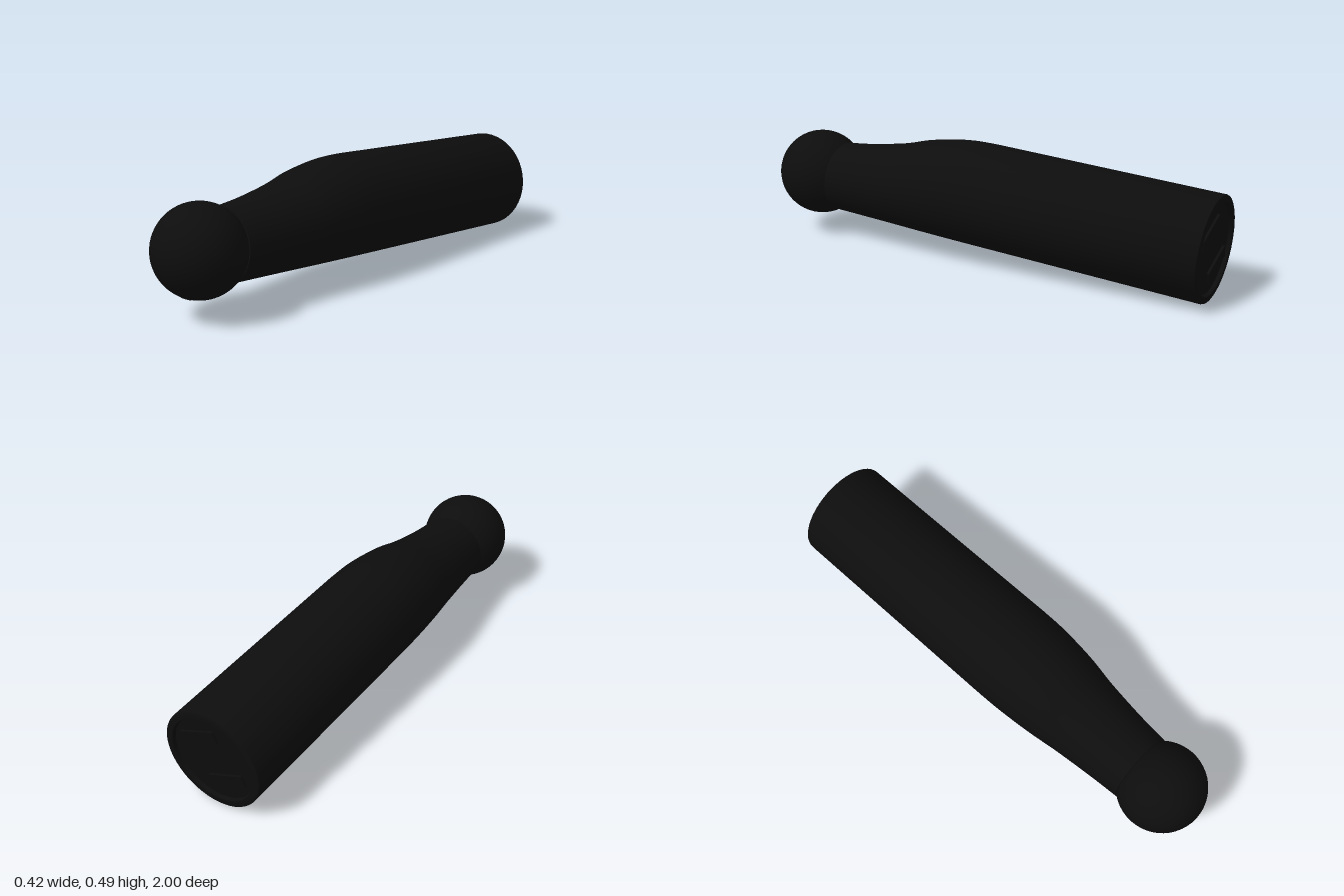
import * as THREE from 'three';
import { toCreasedNormals } from 'three/addons/utils/BufferGeometryUtils.js';

const black = new THREE.MeshStandardMaterial({ color: 0x0d0d0d });
black.name = 'black';
const charcoal = new THREE.MeshStandardMaterial({ color: 0x222222 });
charcoal.name = 'charcoal';

function add(parent, name, geometry, material) {
  const mesh = new THREE.Mesh(geometry, material);
  mesh.name = name;
  parent.add(mesh);
  return mesh;
}

// Round handle along z whose sections all rest on one straight underside line
function handleGeometry() {
  const R = 0.212;
  // shoulder and neck: x = radius, y = distance from the back
  const neck = new THREE.SplineCurve([
    [R, 0.98], [0.21, 1.08], [0.203, 1.18], [0.192, 1.28], [0.176, 1.38],
    [0.164, 1.48], [0.154, 1.58], [0.146, 1.69],
  ].map(([r, s]) => new THREE.Vector2(r, s))).getPoints(28);
  // recessed end, rim and straight grip
  const back = [[0, 0.015], [0.178, 0.015], [0.182, 0], [0.204, 0], [0.21, 0.003], [R, 0.009]]
    .map(([r, s]) => new THREE.Vector2(r, s));
  const profile = [...back, ...neck, new THREE.Vector2(0, 1.69)];
  const lifts = profile.map((p, j) =>
    j < back.length ? R : j === profile.length - 1 ? 0.146 : p.x);

  const geometry = new THREE.LatheGeometry(profile, 48);
  geometry.rotateX(Math.PI / 2);
  const pos = geometry.attributes.position;
  for (let i = 0; i < pos.count; i++) {
    pos.setY(i, pos.getY(i) + lifts[i % profile.length]);
  }
  return toCreasedNormals(geometry, 0.6);
}

export function createModel() {
  const model = new THREE.Group();
  model.name = 'ballEndedHandle';

  // Handle, tilted so the front rises
  const handle = new THREE.Group();
  handle.name = 'handle';
  handle.position.set(0, 0.005, -0.97);
  handle.rotation.x = -0.068;
  model.add(handle);
  add(handle, 'handleBody', handleGeometry(), black);

  // Slanted ribs in the recessed end
  for (const [x, y] of [[0.055, 0.08], [-0.055, -0.08]]) {
    const rib = add(handle, 'endRib', new THREE.BoxGeometry(0.17, 0.05, 0.012), black);
    rib.position.set(x, 0.212 + y, 0.011);
    rib.rotation.z = -0.4;
  }

  // Ball head
  const head = add(model, 'ballHead', new THREE.SphereGeometry(0.181, 48, 32), black);
  head.position.set(0, 0.271, 0.819);

  // Small round stud low on the ball
  const normal = new THREE.Vector3(0, -0.917, 0.4).normalize();
  const stud = add(model, 'stud', new THREE.CylinderGeometry(0.02, 0.02, 0.006, 24), charcoal);
  stud.quaternion.setFromUnitVectors(new THREE.Vector3(0, 1, 0), normal);
  stud.position.copy(head.position).addScaledVector(normal, 0.179);

  return model;
}
